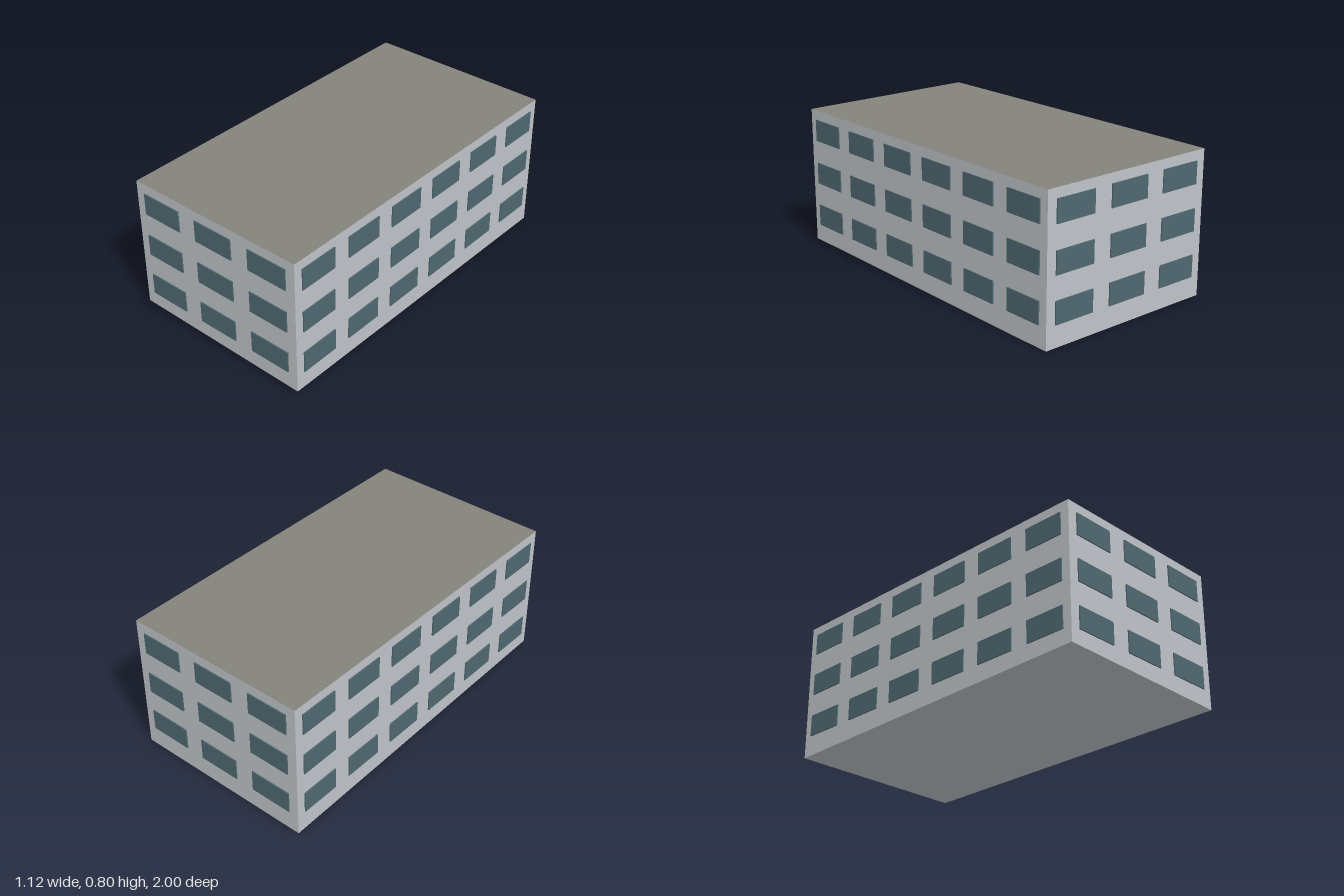
import * as THREE from 'three';

const W = 1.06, L = 1.97, H = 0.795;

export function createModel() {
  const wall = new THREE.MeshStandardMaterial({ color: 0xc0c5c9 });
  wall.name = 'wall grey';
  const roof = new THREE.MeshStandardMaterial({ color: 0x83837b });
  roof.name = 'roof grey';
  const glass = new THREE.MeshStandardMaterial({ color: 0x4f6970 });
  glass.name = 'window teal';

  const model = new THREE.Group();
  model.name = 'building';

  // Block with a flat roof; its base rises towards the front, most at the left-hand corner of the facade
  const geo = new THREE.BoxGeometry(L, H, W).rotateY(Math.PI / 2).translate(0, H / 2, 0);
  const pos = geo.attributes.position;
  for (let i = 0; i < pos.count; i++) {
    if (pos.getY(i) > H / 2) continue;
    const front = pos.getZ(i) > 0;
    pos.setY(i, front ? (pos.getX(i) < 0 ? 0.037 : 0.022) : (pos.getX(i) < 0 ? 0.003 : 0));
  }
  geo.computeVertexNormals();
  const block = new THREE.Mesh(geo, [wall, wall, roof, wall, wall, wall]);
  block.name = 'buildingBlock';
  model.add(block);

  // One wall of windows: three floors of thin plates, laid out along local x and facing local +z
  function windowWall(name, columns, spacing, width, distance, angle) {
    const group = new THREE.Group();
    group.name = name;
    const plate = new THREE.BoxGeometry(width, 0.122, 0.009);
    for (const y of [0.18, 0.43, 0.681]) {
      for (let c = 0; c < columns; c++) {
        const pane = new THREE.Mesh(plate, glass);
        pane.name = 'window';
        pane.position.set((c - (columns - 1) / 2) * spacing, y, distance + 0.002);
        group.add(pane);
      }
    }
    group.rotation.y = angle;
    model.add(group);
  }
  windowWall('frontWindows', 3, 0.354, 0.242, L / 2, 0);
  windowWall('backWindows', 3, 0.354, 0.242, L / 2, Math.PI);
  windowWall('leftWindows', 6, 0.329, 0.227, W / 2, Math.PI / 2);
  windowWall('rightWindows', 6, 0.329, 0.227, W / 2, -Math.PI / 2);

  // The whole block stands slightly turned
  model.rotation.y = -0.0236;
  return model;
}
